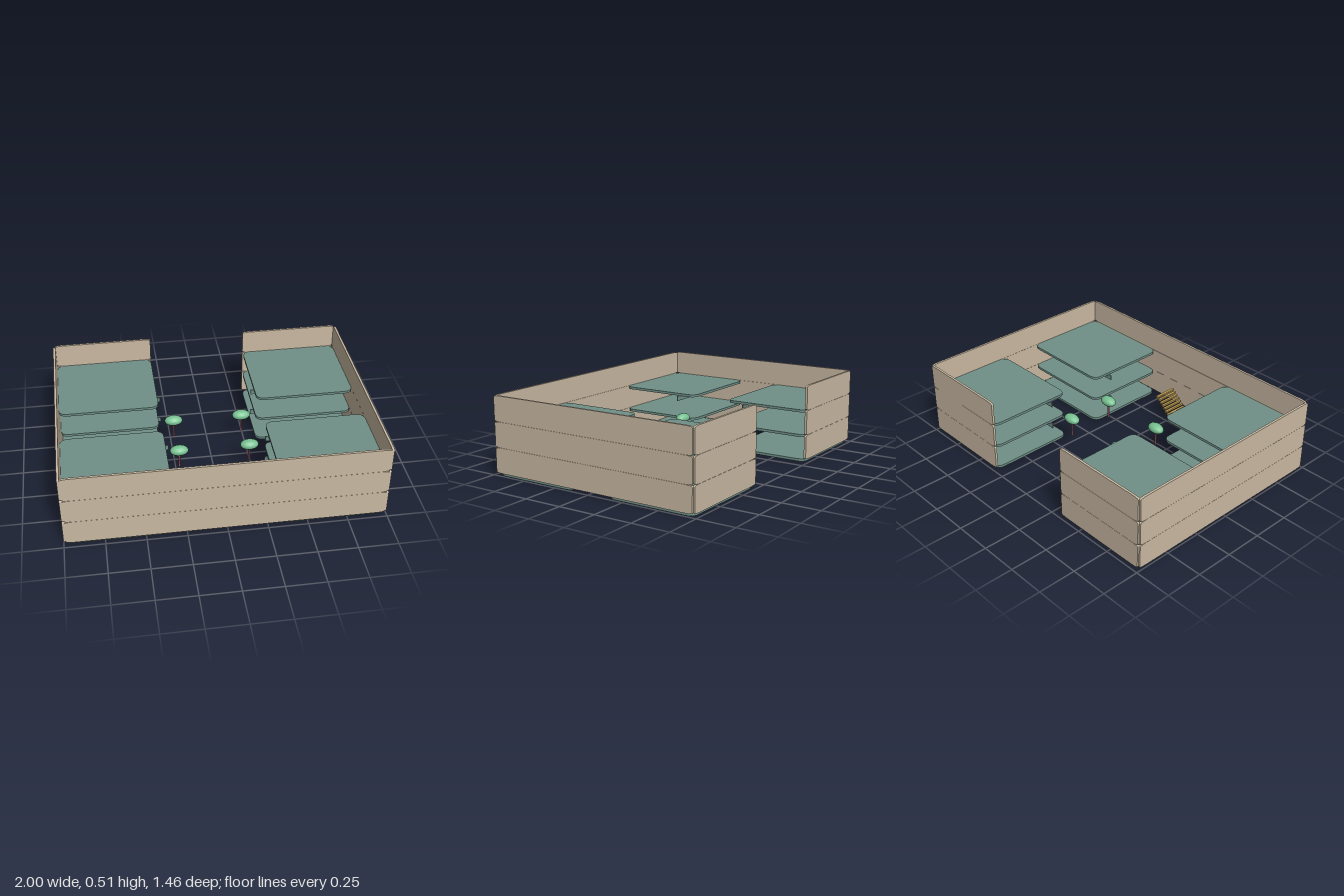
import * as THREE from 'three';

const mat = (name, color) => {
  const m = new THREE.MeshStandardMaterial({ color });
  m.name = name;
  return m;
};

// Rectangle outline with elliptical corners, starting at (x, y)
function roundedRect(x, y, w, h, rx, ry) {
  const s = new THREE.Shape();
  s.moveTo(x + rx, y);
  s.lineTo(x + w - rx, y);
  s.quadraticCurveTo(x + w, y, x + w, y + ry);
  s.lineTo(x + w, y + h - ry);
  s.quadraticCurveTo(x + w, y + h, x + w - rx, y + h);
  s.lineTo(x + rx, y + h);
  s.quadraticCurveTo(x, y + h, x, y + h - ry);
  s.lineTo(x, y + ry);
  s.quadraticCurveTo(x, y, x + rx, y);
  return s;
}

const extrude = (shape, depth) =>
  new THREE.ExtrudeGeometry(shape, { depth, bevelEnabled: false, curveSegments: 6 });

export function createModel() {
  const root = new THREE.Group();
  root.name = 'building';

  const wallMat = mat('sand wall', 0xc9b9a2);
  const floorMat = mat('slate teal', 0x6f8f87);
  const leafMat = mat('leaf green', 0x78c292);
  const trunkMat = mat('rose trunk', 0xc87078);
  const stairMat = mat('golden wood', 0xc2a052);

  const add = (name, geo, material, parent = root) => {
    const mesh = new THREE.Mesh(geo, material);
    mesh.name = name;
    parent.add(mesh);
    return mesh;
  };

  const STOREY = 0.164, SLAB = 0.017, WALL = 0.015;

  // Upright panel centred on (x, z), turned to face along z or x
  const panel = (name, x, y, z, length, turned, parent) => {
    const geo = extrude(roundedRect(-length / 2, 0, length, STOREY - 0.001, 0.06, 0.009), WALL);
    geo.translate(0, 0, -WALL / 2);
    if (turned) geo.rotateY(Math.PI / 2);
    add(name, geo, wallMat, parent).position.set(x, y, z);
  };

  for (let level = 0; level < 3; level++) {
    const storey = new THREE.Group();
    storey.name = 'storey' + (level + 1);
    root.add(storey);
    const y = level * STOREY;

    // Outer walls, with an opening in the middle of the back
    panel('frontWall', 0, y + SLAB + 0.001, 0.722, 1.97, false, storey);
    for (const side of [-1, 1]) {
      panel('sideWall', side * 0.992, y + SLAB + 0.001, 0, 1.45, true, storey);
      panel('backWall', side * 0.658, y + SLAB + 0.001, -0.728, 0.66, false, storey);

      // Corner floor slabs
      for (const [z0, beamZ] of [[-0.722, -0.268], [0.13, 0.26]]) {
        const x0 = side > 0 ? 0.33 : -0.985;
        const geo = extrude(roundedRect(x0, -z0 - 0.585, 0.655, 0.585, 0.055, 0.055), SLAB);
        geo.rotateX(-Math.PI / 2);
        add('floorSlab', geo, floorMat, storey).position.y = y;

        // Thin beam hanging below each upper slab
        if (level > 0) {
          const beam = add('beam', new THREE.BoxGeometry(0.66, 0.034, 0.007), floorMat, storey);
          beam.position.set(side * 0.64, y - 0.017, beamZ);
        }
      }
    }
  }

  // Courtyard trees
  for (const x of [-0.232, 0.228]) {
    for (const z of [-0.17, 0.16]) {
      const tree = new THREE.Group();
      tree.name = 'tree';
      tree.position.set(x, 0, z);
      root.add(tree);
      add('trunk', new THREE.CylinderGeometry(0.006, 0.006, 0.12, 8), trunkMat, tree).position.y = 0.13;
      const crown = new THREE.IcosahedronGeometry(1, 2);
      crown.scale(0.061, 0.033, 0.041);
      add('crown', crown, leafMat, tree).position.y = 0.2;
    }
  }

  // Open stair rising towards the left
  const stair = new THREE.Group();
  stair.name = 'stair';
  root.add(stair);
  const steps = 10;
  for (let i = 0; i < steps; i++) {
    const tread = add('tread', new THREE.BoxGeometry(0.017, 0.012, 0.163), stairMat, stair);
    tread.position.set(-0.082 + i * 0.0175, 0.022 + i * 0.0162, 0.56);
  }

  return root;
}
